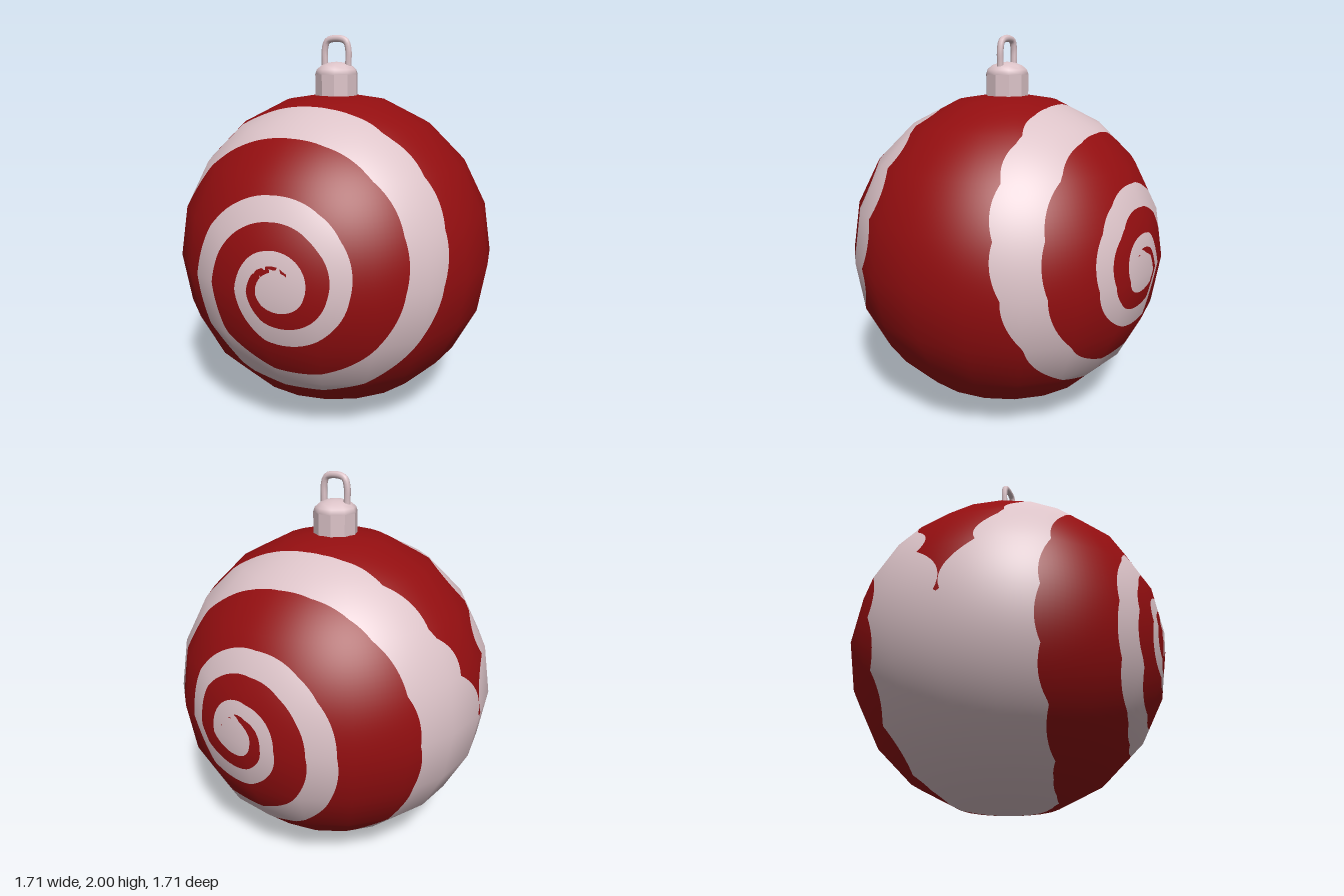
import * as THREE from 'three';

const red = new THREE.MeshStandardMaterial({ color: 0x930e10 });
red.name = 'deep red';
const pink = new THREE.MeshStandardMaterial({ color: 0xdcc3c8 });
pink.name = 'pale pink';

const R = 0.855;
const CENTRE_Y = 0.855;

// Spiral edges: radius from the spiral's centre, one value per quarter turn
const SPIRAL = { x: 0.06, y: 0.88 };
const OUTER = [0.10, 0.085, 0.09, 0.11, 0.15, 0.18, 0.21, 0.28, 0.34, 0.41, 0.49, 0.595, 0.68, 0.77, 0.91, 1.1, 1.3];
const INNER = [-1, -1, -1, -1, 0.10, 0.11, 0.14, 0.19, 0.25, 0.30, 0.36, 0.46, 0.55, 0.64, 0.78, 0.845, 1.0];

// Smooth interpolation through a quarter-turn table
function sample(table, t, first) {
  const i = Math.min(Math.floor(t), table.length - 2);
  const f = t - i;
  const at = (k) => table[Math.min(Math.max(k, first), table.length - 1)];
  const [a, b, c, d] = [at(i - 1), at(i), at(i + 1), at(i + 2)];
  return b + 0.5 * f * (c - a + f * (2 * a - 5 * b + 4 * c - d + f * (3 * (b - c) + d - a)));
}

// Positive inside the painted spiral, negative outside; the same on front and back
function spiralField(p) {
  const dx = p.x - SPIRAL.x;
  const dy = p.y + CENTRE_Y - SPIRAL.y;
  const r = Math.hypot(dx, dy);
  let quarter = Math.atan2(dy, dx) / (Math.PI / 2);
  if (quarter < 0) quarter += 4;
  let best = -1;
  for (let t = quarter; t < OUTER.length - 1; t += 4) {
    const inner = t < 4 ? -1 : sample(INNER, t, 4);
    best = Math.max(best, Math.min(sample(OUTER, t, 0) - r, r - inner));
  }
  return best;
}

// Keep the part of a small triangle on one side of the spiral edge
function clip(corners, sign, out) {
  const poly = [];
  corners.forEach((a, i) => {
    const b = corners[(i + 1) % 3];
    if (a.f * sign >= 0) poly.push(a.p);
    if (a.f * b.f < 0) poly.push(a.p.clone().lerp(b.p, a.f / (a.f - b.f)));
  });
  for (let i = 1; i + 1 < poly.length; i++) out.push(poly[0], poly[i], poly[i + 1]);
}

function surface(points, material, name) {
  const geometry = new THREE.BufferGeometry().setFromPoints(points);
  const normals = points.flatMap((p) => p.clone().normalize().toArray());
  geometry.setAttribute('normal', new THREE.Float32BufferAttribute(normals, 3));
  const mesh = new THREE.Mesh(geometry, material);
  mesh.name = name;
  return mesh;
}

// Twenty-sided ball, each facet finely divided and cut along the spiral
function createBall() {
  const N = 10;
  const pos = new THREE.SphereGeometry(R, 20, 10).toNonIndexed().attributes.position;
  const redPoints = [];
  const pinkPoints = [];
  for (let t = 0; t < pos.count; t += 3) {
    const [a, b, c] = [0, 1, 2].map((k) => new THREE.Vector3().fromBufferAttribute(pos, t + k));
    const ab = b.clone().sub(a);
    const ac = c.clone().sub(a);
    const grid = [];
    for (let i = 0; i <= N; i++) {
      grid.push([]);
      for (let j = 0; i + j <= N; j++) {
        const p = a.clone().addScaledVector(ab, i / N).addScaledVector(ac, j / N);
        grid[i].push({ p, f: spiralField(p) || 1e-9 });
      }
    }
    const add = (...corners) => {
      clip(corners, 1, pinkPoints);
      clip(corners, -1, redPoints);
    };
    for (let i = 0; i < N; i++) {
      for (let j = 0; i + j < N; j++) {
        add(grid[i][j], grid[i + 1][j], grid[i][j + 1]);
        if (i + j < N - 1) add(grid[i + 1][j], grid[i + 1][j + 1], grid[i][j + 1]);
      }
    }
  }
  const ball = new THREE.Group();
  ball.name = 'ball';
  ball.position.y = CENTRE_Y;
  ball.add(surface(redPoints, red, 'ballSurface'), surface(pinkPoints, pink, 'spiralStripes'));
  return ball;
}

export function createModel() {
  const model = new THREE.Group();
  model.name = 'ornament';
  model.add(createBall());

  const addPink = (name, geometry, y = 0) => {
    const mesh = new THREE.Mesh(geometry, pink);
    mesh.name = name;
    mesh.position.y = y;
    model.add(mesh);
  };

  // Ten-sided collar with flat faces
  const collar = new THREE.CylinderGeometry(0.115, 0.115, 0.13, 10, 1, true).rotateY(Math.PI / 2).toNonIndexed();
  collar.computeVertexNormals();
  addPink('capCollar', collar, 1.737);

  // Low smooth dome on the collar
  const dome = new THREE.SphereGeometry(0.115, 10, 4, 0, Math.PI * 2, 0, Math.PI / 2).scale(1, 0.55, 1);
  addPink('capDome', dome, 1.802);

  // Wire hanging loop
  const half = [[0.068, 1.8], [0.068, 1.86], [0.068, 1.925], [0.055, 1.968], [0.03, 1.981]];
  const path = [
    ...half.map(([x, y]) => new THREE.Vector3(-x, y, 0)),
    ...half.reverse().map(([x, y]) => new THREE.Vector3(x, y, 0)),
  ];
  addPink('hangingLoop', new THREE.TubeGeometry(new THREE.CatmullRomCurve3(path), 32, 0.018, 8));

  return model;
}
